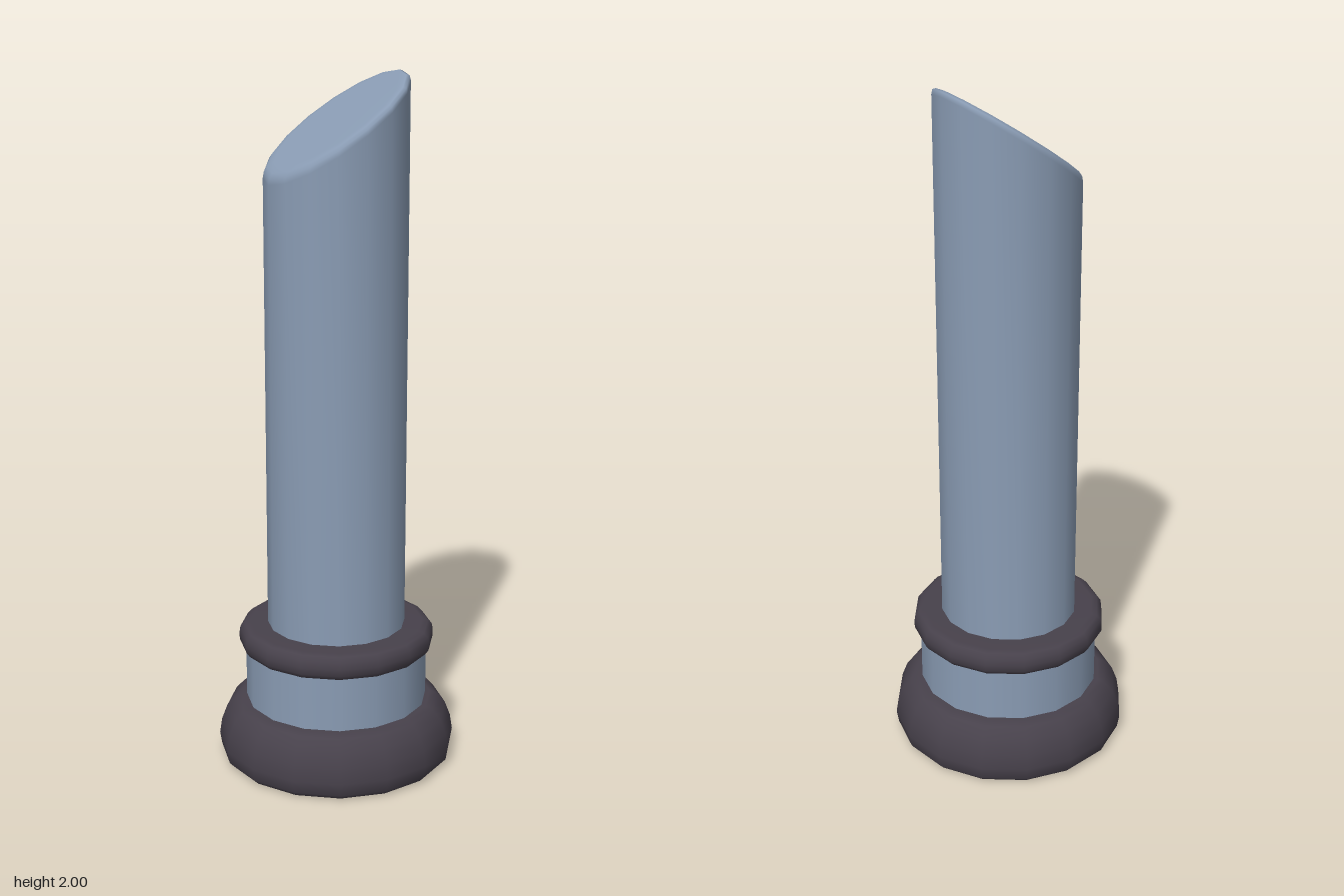
import * as THREE from 'three';
import { mergeVertices } from 'three/addons/utils/BufferGeometryUtils.js';

const SIDES = 16;
const steel = new THREE.MeshStandardMaterial({ color: 0x8a9cb4 });
const rubber = new THREE.MeshStandardMaterial({ color: 0x47414b });

// Turned part from [radius, height] pairs, listed from bottom to top
function turned(name, material, profile) {
  const points = profile.map(([r, y]) => new THREE.Vector2(r, y));
  const mesh = new THREE.Mesh(new THREE.LatheGeometry(points, SIDES), material);
  mesh.name = name;
  return mesh;
}

export function createModel() {
  const model = new THREE.Group();
  model.name = 'slantedPipe';

  // Heavy rounded foot
  model.add(turned('base', rubber, [
    [0, 0], [0.31, 0], [0.33, 0.003], [0.344, 0.018], [0.35, 0.055],
    [0.343, 0.1], [0.327, 0.142], [0.3, 0.172], [0.28, 0.18], [0.2, 0.182],
  ]));

  // Metal band between foot and collar
  model.add(turned('neck', steel, [[0.267, 0.16], [0.267, 0.36]]));

  // Rounded collar, closed underneath and on top
  model.add(turned('collar', rubber, [
    [0.19, 0.338], [0.262, 0.338], [0.276, 0.342], [0.286, 0.356], [0.287, 0.375],
    [0.284, 0.395], [0.272, 0.408], [0.255, 0.412], [0.18, 0.412],
  ]));

  // Pipe with a softened rim; its top is sheared into a slanted cut
  const pipe = turned('pipe', steel, [
    [0.202, 0.38], [0.202, 1.843], [0.199, 1.858], [0.19, 1.866], [0.17, 1.868], [0, 1.868],
  ]);
  const position = pipe.geometry.attributes.position;
  for (let i = 0; i < position.count; i++) {
    if (position.getY(i) > 1) position.setY(i, position.getY(i) + 0.7 * position.getX(i));
  }
  pipe.geometry.deleteAttribute('normal');
  pipe.geometry.deleteAttribute('uv');
  pipe.geometry = mergeVertices(pipe.geometry);
  pipe.geometry.computeVertexNormals();
  model.add(pipe);

  return model;
}
